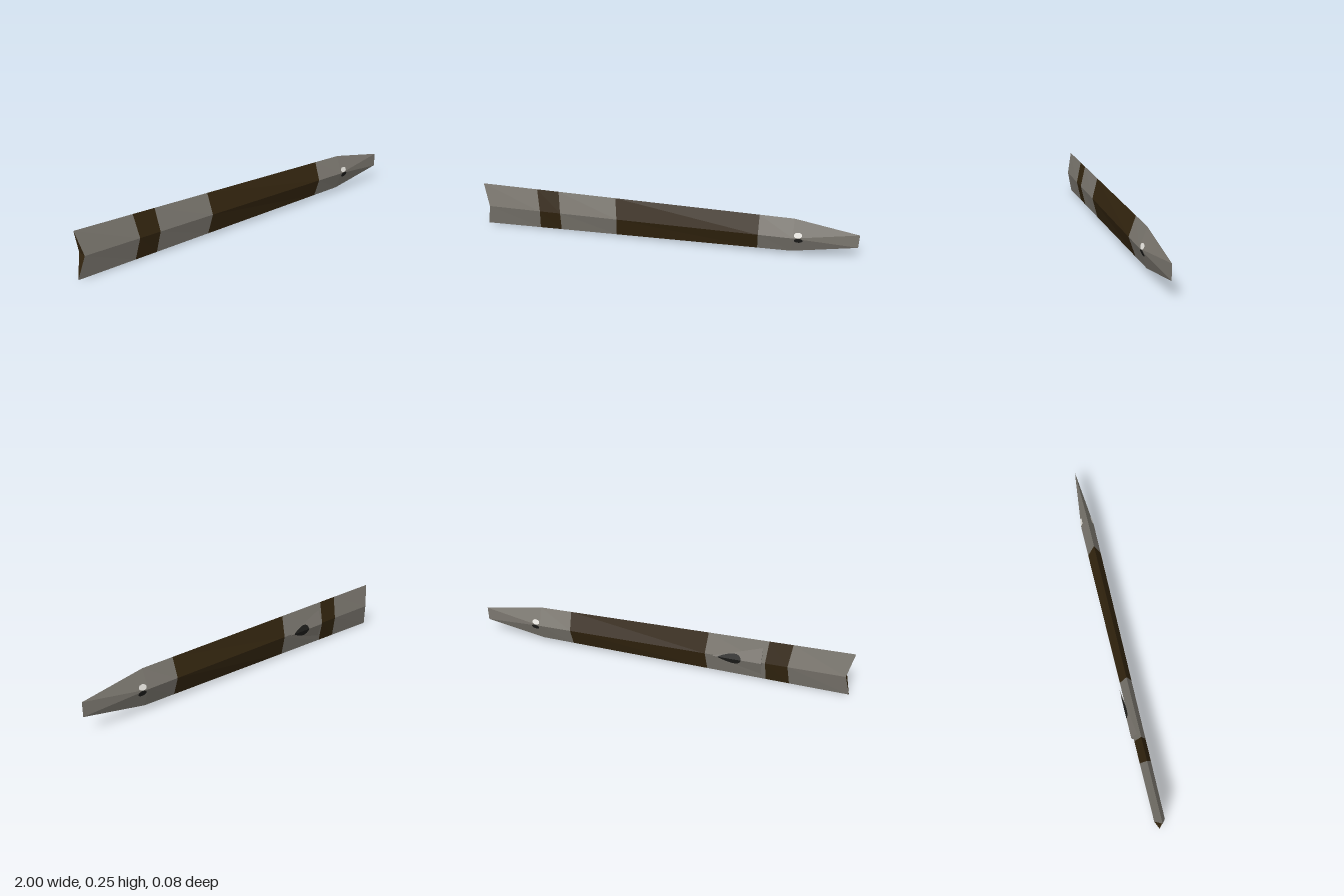
import * as THREE from 'three';

const MID = 0.1235;                  // height of the side ridges
const TAIL = -1, SHOULDER = 0.67, TIP = 1;
const SHOULDER_H = 0.097, SHOULDER_Z = 0.036, TIP_H = 0.037;

const lerp = (a, b, t) => a + (b - a) * t;
const along = (x) => (x - TAIL) / (SHOULDER - TAIL);
const halfHeight = (x) => lerp(0.1235, SHOULDER_H, along(x));
const halfDepth = (x) => lerp(0.0265, SHOULDER_Z, along(x));

// Flat-shaded geometry from triangles and quads of [x, y, z] corners
function facets(faces) {
  const pos = [];
  for (const f of faces) {
    for (let i = 1; i < f.length - 1; i++) pos.push(...f[0], ...f[i], ...f[i + 1]);
  }
  const g = new THREE.BufferGeometry();
  g.setAttribute('position', new THREE.Float32BufferAttribute(pos, 3));
  g.computeVertexNormals();
  return g;
}

// Diamond section: top, front, bottom, back; side ridges may be set forward
function section(edgeX, ridgeX) {
  const h = halfHeight(edgeX), d = halfDepth(ridgeX);
  return [[edgeX, MID + h, 0], [ridgeX, MID, d], [edgeX, MID - h, 0], [ridgeX, MID, -d]];
}

// Depth of the head surface at a point, dy measured from the ridge
function headDepth(x, dy) {
  const a = Math.abs(dy);
  if (x < SHOULDER) return halfDepth(x) * (1 - a / halfHeight(x));
  const t = (x - SHOULDER) / (TIP - SHOULDER);
  const c = 1 - TIP_H / SHOULDER_H;
  return SHOULDER_Z * Math.min(1 - t, 1 - a / SHOULDER_H - c * t);
}

// Thin painted spot laid on a surface; shape(u, v) gives x and dy
function spot(shape, depth, side) {
  const g = new THREE.RingGeometry(0, 1, 20, 5);
  const p = g.attributes.position;
  for (let i = 0; i < p.count; i++) {
    const [x, dy] = shape(p.getX(i), p.getY(i));
    p.setXYZ(i, x, MID + dy, side * (depth(x, dy) + 0.002));
  }
  if (side < 0) {
    const idx = g.index.array;
    for (let i = 0; i < idx.length; i += 3) [idx[i], idx[i + 1]] = [idx[i + 1], idx[i]];
  }
  g.computeVertexNormals();
  return g;
}

export function createModel() {
  const material = (name, color, side = THREE.FrontSide) => {
    const m = new THREE.MeshStandardMaterial({ color, side, flatShading: true });
    m.name = name;
    return m;
  };
  const grey = material('warm grey', 0x7b776f, THREE.DoubleSide);
  const brown = material('dark brown', 0x33250f);
  const white = material('off white', 0xe6e4de);
  const black = material('near black', 0x1e1e1c);

  const group = new THREE.Group();
  group.name = 'blade';
  const add = (name, geometry, mat) => {
    const mesh = new THREE.Mesh(geometry, mat);
    mesh.name = name;
    group.add(mesh);
  };

  // Body lengths, alternately grey and brown
  const stations = [[TAIL, -0.97], [-0.697, -0.682], [-0.577, -0.568],
    [-0.265, -0.255], [0.493, 0.493], [SHOULDER, SHOULDER]];
  const names = ['tailSection', 'narrowBand', 'rearSection', 'wideBand', 'neckSection'];
  names.forEach((name, i) => {
    const a = section(...stations[i]), b = section(...stations[i + 1]);
    const faces = a.map((p, k) => [p, a[(k + 1) % 4], b[(k + 1) % 4], b[k]]);
    add(name, facets(faces), i % 2 ? brown : grey);
  });

  // Notched tail end
  const [t0, f0, b0, k0] = section(...stations[0]);
  add('tailNotch', facets([[t0, k0, f0], [k0, b0, f0]]), brown);

  // Wedge-shaped tip ending in a vertical edge
  const [t, f, b, k] = section(SHOULDER, SHOULDER);
  const tt = [TIP, MID + TIP_H, 0], tb = [TIP, MID - TIP_H, 0];
  add('tip', facets([[t, f, tt], [f, tb, tt], [f, b, tb],
    [k, t, tt], [k, tt, tb], [k, tb, b]]), grey);

  // Two-tone eye on each side
  for (const side of [1, -1]) {
    const where = side > 0 ? 'front' : 'back';
    add(where + 'EyeLight', spot((u, v) => [0.695 + 0.021 * u, 0.017 + 0.014 * v], headDepth, side), white);
    add(where + 'EyeDark', spot((u, v) => [0.699 + 0.022 * u, -0.013 + 0.015 * v], headDepth, side), black);
  }

  // Raised triangular plate on the back, with a dark teardrop
  const rear = -0.55, point = -0.29, z = 0.04, cz = 0.013, ch = 0.08;
  const nose = [point, MID, -z], ridge = [rear, MID, -z];
  const top = [rear, MID + ch, -cz], low = [rear, MID - ch, -cz];
  add('backPlate', facets([[nose, ridge, top], [nose, low, ridge], [ridge, low, top]]), grey);
  const plateDepth = (x, dy) => z - 0.002 - Math.abs(dy) * (z - cz) / ch;
  add('backPlateMark', spot((u, v) => [-0.385 + 0.06 * u, 0.027 * (1 - 0.6 * u) * v],
    (x, dy) => plateDepth(x, dy) + 0.001, -1), black);

  group.position.z = 0.002;
  const model = new THREE.Group();
  model.add(group);
  return model;
}
